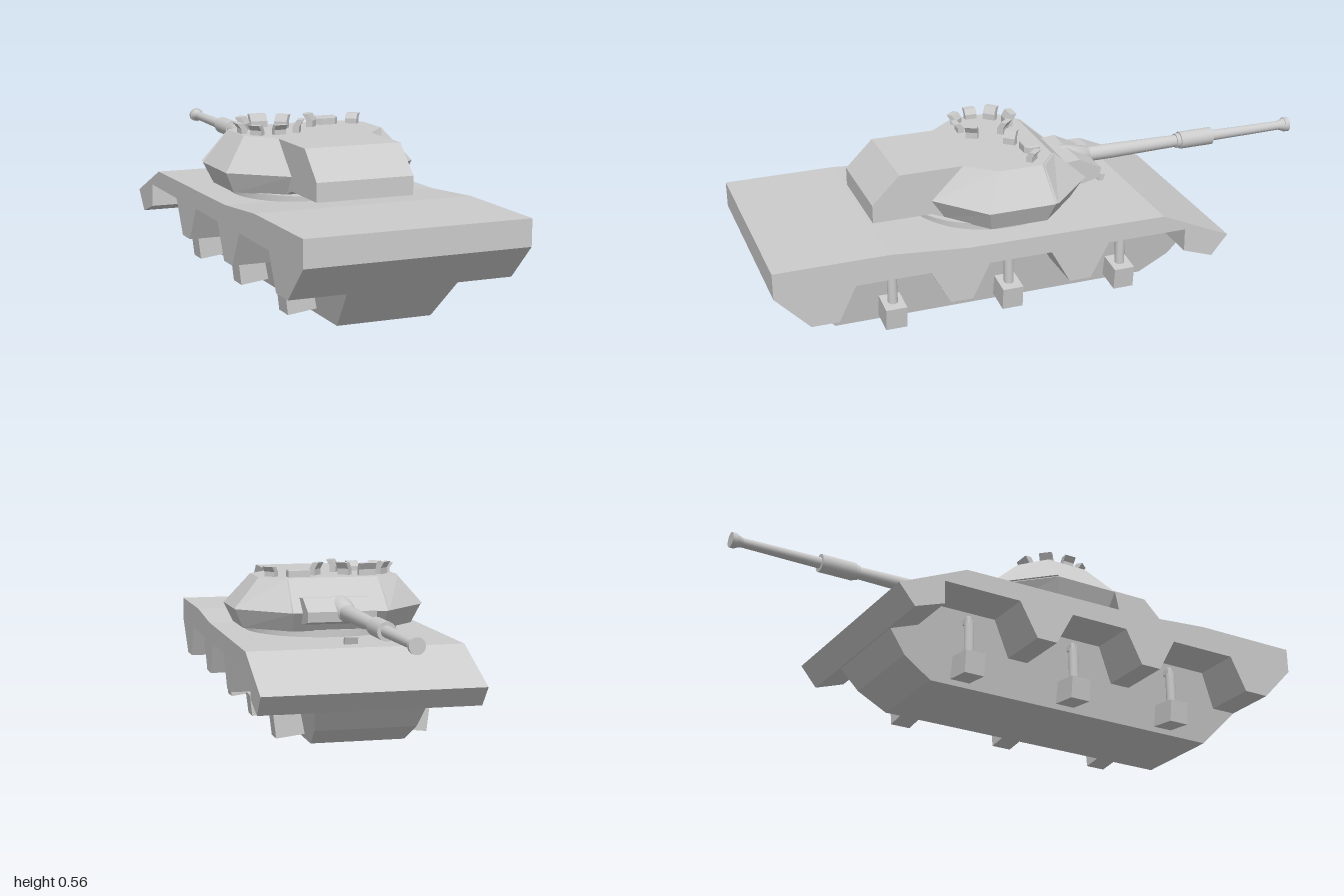
import * as THREE from 'three';

const material = new THREE.MeshStandardMaterial({ color: 0xcccccc, flatShading: true });
const smooth = new THREE.MeshStandardMaterial({ color: 0xcccccc });

function add(parent, name, geometry, mat = material) {
  const mesh = new THREE.Mesh(geometry, mat);
  mesh.name = name;
  parent.add(mesh);
  return mesh;
}

// Side profile of [z, y] points extruded across x
function sideExtrude(points, width) {
  const shape = new THREE.Shape(points.map(([z, y]) => new THREE.Vector2(z, y)));
  return new THREE.ExtrudeGeometry(shape, { depth: width, bevelEnabled: false })
    .translate(0, 0, -width / 2).rotateY(-Math.PI / 2);
}

// Move every vertex of a geometry by a rule
function reshape(geometry, rule) {
  const p = geometry.attributes.position, v = new THREE.Vector3();
  for (let i = 0; i < p.count; i++) {
    rule(v.fromBufferAttribute(p, i));
    p.setXYZ(i, v.x, v.y, v.z);
  }
  geometry.computeVertexNormals();
  return geometry;
}

// Capped skin over stacked loops, clockwise from above
function loft(loops) {
  const out = [], n = loops[0].length;
  const tri = (a, b, c) => out.push(...a, ...b, ...c);
  for (let k = 0; k + 1 < loops.length; k++) {
    for (let i = 0; i < n; i++) {
      const j = (i + 1) % n, lo = loops[k], hi = loops[k + 1];
      tri(lo[i], hi[i], lo[j]);
      tri(lo[j], hi[i], hi[j]);
    }
  }
  const bottom = loops[0], top = loops[loops.length - 1];
  for (let i = 1; i < n - 1; i++) {
    tri(bottom[0], bottom[i], bottom[i + 1]);
    tri(top[0], top[i + 1], top[i]);
  }
  const g = new THREE.BufferGeometry();
  g.setAttribute('position', new THREE.Float32BufferAttribute(out, 3));
  g.computeVertexNormals();
  return g;
}

// Left half outline [x, z], mirrored into a closed loop at height y
function mirroredLoop(y, half) {
  return [...half.map(([x, z]) => [x, y, z]),
    ...half.slice().reverse().map(([x, z]) => [-x, y, z])];
}

function buildHull() {
  const hull = new THREE.Group();
  hull.name = 'hull';
  // Full width upper body with three wheel arches per side
  add(hull, 'upperHull', sideExtrude([
    [1, 0.338], [1, 0.25], [0.887, 0.132], [0.796, 0.132], [0.737, 0.25],
    [0.49, 0.25], [0.425, 0.132], [0.35, 0.132], [0.29, 0.25],
    [0.075, 0.25], [0.01, 0.132], [-0.065, 0.132], [-0.13, 0.25],
    [-0.41, 0.25], [-0.41, 0.17], [-0.515, 0.134], [-0.573, 0.204],
    [-0.33, 0.311], [0.36, 0.317], [0.62, 0.338],
  ], 0.746));
  // Narrow lower body, tapering towards the belly
  const belly = sideExtrude([
    [-0.344, 0], [0.763, 0], [0.99, 0.24], [0.9, 0.27], [-0.4, 0.27],
    [-0.56, 0.204], [-0.446, 0.062],
  ], 2);
  add(hull, 'lowerHull', reshape(belly, (v) => { v.x = Math.sign(v.x) * (0.16 + 0.19 * v.y); }));
  add(hull, 'driverPeriscope', reshape(new THREE.BoxGeometry(0.045, 0.035, 0.018),
    (v) => { if (v.y > 0) v.z -= 0.012; })).position.set(0, 0.318, -0.245);
  return hull;
}

function buildSuspension() {
  const group = new THREE.Group();
  group.name = 'suspension';
  for (const side of [-1, 1]) {
    for (const z of [0.58, 0.172, -0.237]) {
      const unit = new THREE.Group();
      unit.name = 'suspensionUnit';
      unit.position.z = z;
      const hub = add(unit, 'axleHub', new THREE.BoxGeometry(0.115, 0.077, 0.072));
      hub.position.set(side * 0.208, 0.052, 0);
      hub.rotation.z = -side * 0.12;
      add(unit, 'strut', new THREE.CylinderGeometry(0.017, 0.017, 0.12, 16), smooth)
        .position.set(side * 0.223, 0.14, 0);
      add(unit, 'strutTop', new THREE.CylinderGeometry(0.012, 0.014, 0.03, 12), smooth)
        .position.set(side * 0.219, 0.212, 0);
      add(unit, 'strutBracket', new THREE.BoxGeometry(0.04, 0.018, 0.024))
        .position.set(side * 0.208, 0.212, 0);
      group.add(unit);
    }
  }
  return group;
}

function buildTurret() {
  const turret = new THREE.Group();
  turret.name = 'turret';
  add(turret, 'turretRing', new THREE.CylinderGeometry(0.275, 0.275, 0.03, 40), smooth)
    .position.set(0, 0.323, 0.185);
  // Faceted body
  add(turret, 'turretBody', loft([
    mirroredLoop(0.335, [[0.16, -0.075], [0.305, 0.065], [0.305, 0.26], [0.165, 0.375]]),
    mirroredLoop(0.403, [[0.165, -0.125], [0.336, 0.047], [0.336, 0.275], [0.165, 0.42]]),
    mirroredLoop(0.511, [[0.165, -0.005], [0.25, 0.06], [0.25, 0.21], [0.165, 0.31]]),
  ]));
  // Rear bustle
  add(turret, 'bustle', sideExtrude([
    [0.2, 0.511], [0.2, 0.34], [0.38, 0.34], [0.42, 0.356], [0.62, 0.356],
    [0.62, 0.418], [0.525, 0.511],
  ], 0.333));
  // Raised cheek armour plates beside the gun
  for (const side of [-1, 1]) {
    const low = [[0.172, -0.127], [0.34, 0.04], [0.325, 0.055], [0.16, -0.11]];
    const high = [[0.165, -0.014], [0.25, 0.052], [0.24, 0.06], [0.155, -0.005]];
    const loop = (y, pts) => {
      const l = pts.map(([x, z]) => [side * x, y, z]);
      return side > 0 ? l : l.reverse();
    };
    add(turret, 'cheekPlate', loft([loop(0.406, low), loop(0.508, high)]));
  }
  return turret;
}

function buildGun() {
  const gun = new THREE.Group();
  gun.name = 'gun';
  add(gun, 'mantlet', sideExtrude([
    [-0.06, 0.45], [-0.06, 0.37], [-0.13, 0.365], [-0.195, 0.38], [-0.2, 0.415], [-0.12, 0.455],
  ], 0.24)).position.x = 0.014;
  // Turned profiles as [radius, distance along the barrel]
  const turned = (name, points) => {
    const g = new THREE.LatheGeometry(points.map(([r, d]) => new THREE.Vector2(r, d)), 24);
    add(gun, name, g.rotateX(-Math.PI / 2).toNonIndexed(), smooth).position.y = 0.411;
  };
  turned('barrelCollar', [[0.048, 0.1], [0.046, 0.13], [0.03, 0.205], [0, 0.205]]);
  turned('barrel', [[0.026, 0.15], [0.026, 0.3], [0.021, 0.56], [0.019, 0.7], [0.016, 0.97]]);
  for (const [name, a, b, r] of [['boreEvacuator', 0.56, 0.685, 0.031], ['evacuatorClamp', 0.545, 0.56, 0.026],
    ['muzzleRing', 0.983, 1, 0.026]]) {
    add(gun, name, new THREE.CylinderGeometry(r, r, b - a, 24).rotateX(Math.PI / 2), smooth)
      .position.set(0, 0.411, -(a + b) / 2);
  }
  turned('muzzleFlare', [[0.016, 0.96], [0.024, 0.984]]);
  return gun;
}

function buildPeriscopes() {
  const group = new THREE.Group();
  group.name = 'periscopes';
  // Position x, z, facing angle, width and height; each leans outward
  const scopes = [
    [-0.135, 0.045, Math.PI, 0.06, 0.045], [-0.2, 0.085, -2.35, 0.045, 0.045],
    [-0.065, 0.085, 2.35, 0.045, 0.045], [-0.232, 0.148, -Math.PI / 2, 0.042, 0.035],
    [-0.203, 0.21, -0.85, 0.042, 0.035], [-0.13, 0.222, 0, 0.042, 0.035],
    [-0.057, 0.2, 1.05, 0.042, 0.045], [0.04, 0.097, -2.3, 0.042, 0.046],
    [0.2, 0.08, 2.35, 0.042, 0.036],
  ];
  for (const [x, z, angle, w, h] of scopes) {
    const g = reshape(new THREE.BoxGeometry(w, h, 0.022, 1, 2, 1).translate(0, h / 2, 0),
      (v) => { if (v.y > h * 0.75) v.z += 0.014; });
    const scope = add(group, 'periscope', g);
    scope.position.set(x, 0.51, z);
    scope.rotation.y = angle;
  }
  // Gunner sight with chamfered plan
  add(group, 'gunnerSight', loft([0.505, 0.533, 0.537].map((y, i) => {
    const s = i === 2 ? 0.92 : 1;
    return [[-0.04, -0.025], [0.04, -0.025], [0.04, 0.012], [0.026, 0.026], [-0.026, 0.026], [-0.04, 0.012]]
      .map(([x, z]) => [0.11 + x * s, y, 0.056 + z * s]);
  })));
  return group;
}

export function createModel() {
  const model = new THREE.Group();
  model.name = 'tank';
  model.add(buildHull(), buildSuspension(), buildTurret(), buildGun(), buildPeriscopes());
  // Lathe winding is kept visible from both sides
  smooth.side = THREE.DoubleSide;
  return model;
}
